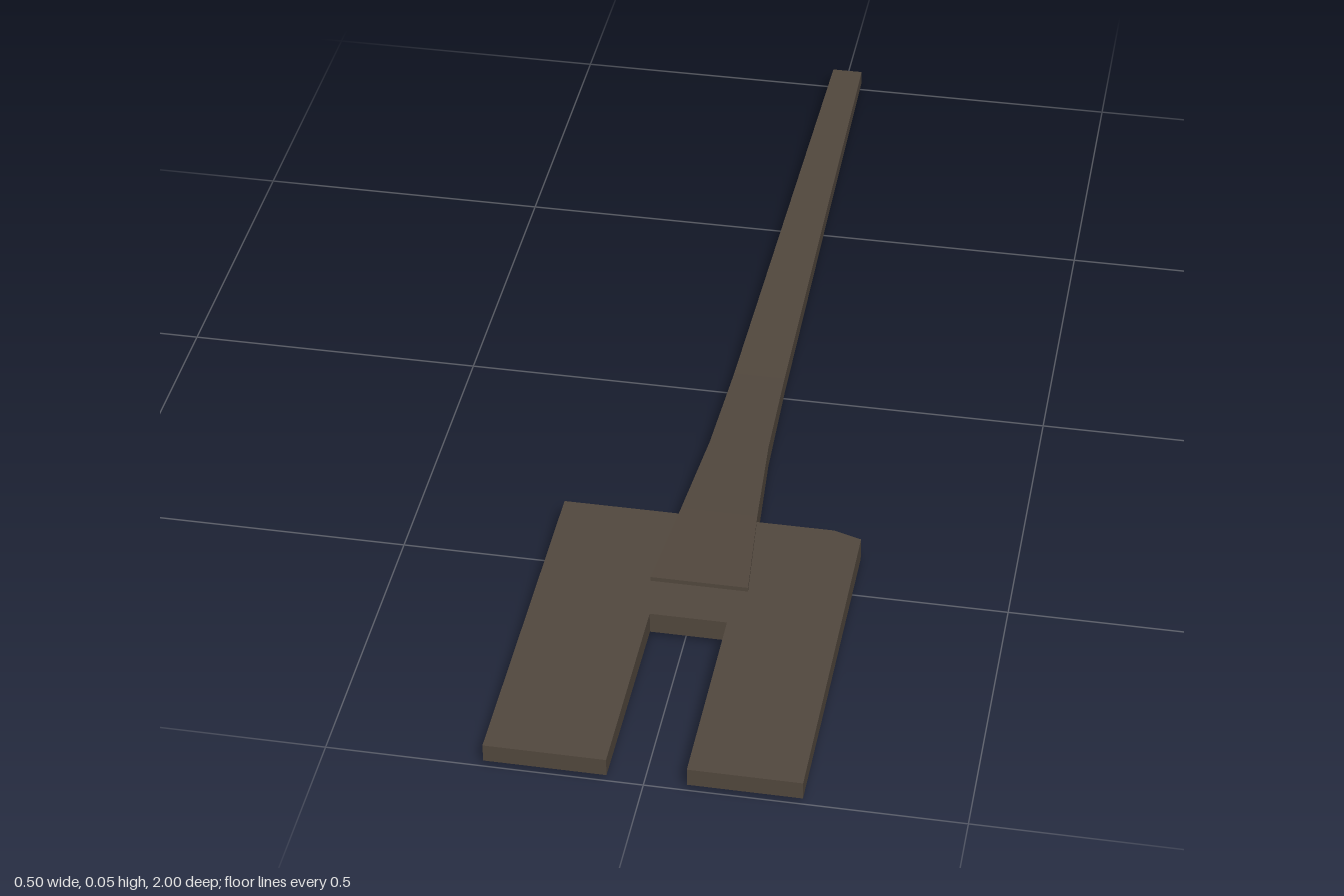
import * as THREE from 'three';

// Flat-faced normals after vertices have been moved
function faceted(geometry) {
  const g = geometry.index ? geometry.toNonIndexed() : geometry;
  g.computeVertexNormals();
  return g;
}

// Forked head: notched plate, slightly thinner towards the prong tips
function makeHead() {
  const outline = new THREE.Shape([
    [-0.25, 0.4], [0.2, 0.4], [0.247, 0.415], [0.247, 1], [0.068, 1],
    [0.068, 0.655], [-0.057, 0.655], [-0.057, 1], [-0.25, 1],
  ].map(([x, z]) => new THREE.Vector2(x, z)));
  const g = new THREE.ExtrudeGeometry(outline, { depth: 1, bevelEnabled: false });
  g.rotateX(Math.PI / 2); // outline lies in x/z, thickness runs from y = -1 to 0
  const p = g.attributes.position;
  for (let i = 0; i < p.count; i++) {
    const t = (p.getZ(i) - 0.4) / 0.6;
    const half = THREE.MathUtils.lerp(0.021, 0.0155, t);
    p.setY(i, 0.028 + (p.getY(i) > -0.5 ? half : -half));
  }
  return faceted(g);
}

// Handle: rectangular sections flaring towards the head
function makeHandle() {
  // z, left x, right x, half thickness
  const sections = [
    [-1, -0.021, 0.034, 0.013],
    [-0.5, -0.029, 0.042, 0.0145],
    [0, -0.037, 0.051, 0.0165],
    [0.2, -0.043, 0.057, 0.02],
    [0.39, -0.056, 0.071, 0.0255],
    [0.575, -0.071, 0.088, 0.027],
  ];
  const n = sections.length - 1;
  const g = new THREE.BoxGeometry(1, 1, n, 1, 1, n);
  const p = g.attributes.position;
  for (let i = 0; i < p.count; i++) {
    const [z, x0, x1, half] = sections[Math.round(p.getZ(i) + n / 2)];
    p.setXYZ(i, p.getX(i) < 0 ? x0 : x1, 0.028 + (p.getY(i) < 0 ? -half : half), z);
  }
  return faceted(g);
}

export function createModel() {
  const material = new THREE.MeshStandardMaterial({ color: 0x52483e });
  material.name = 'dark brown';
  const model = new THREE.Group();
  model.name = 'forkedTool';
  for (const [name, geometry] of [['forkedHead', makeHead()], ['handle', makeHandle()]]) {
    const mesh = new THREE.Mesh(geometry, material);
    mesh.name = name;
    model.add(mesh);
  }
  return model;
}
